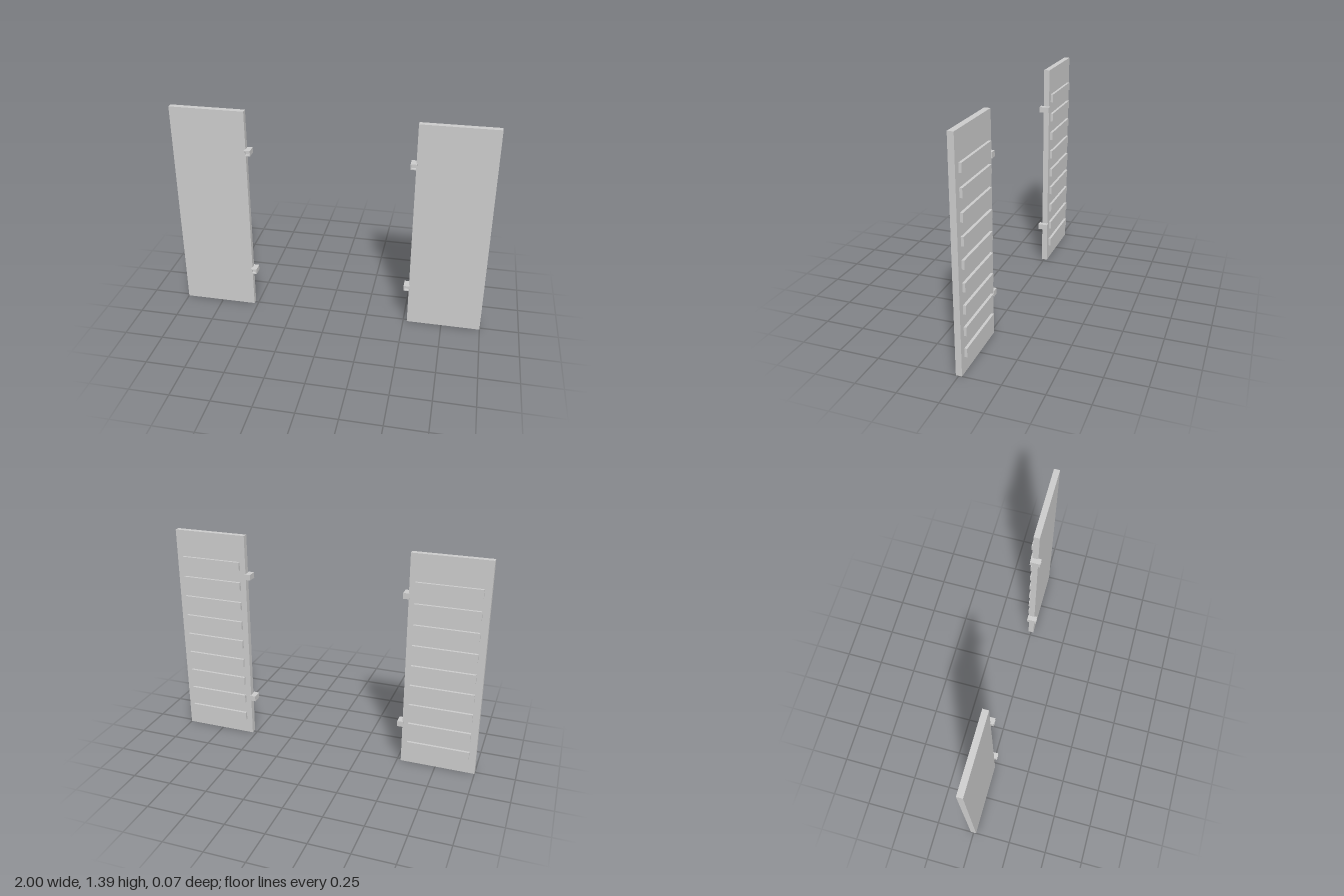
import * as THREE from 'three';

const material = new THREE.MeshStandardMaterial({ color: 0xcccccc, flatShading: true });

function box(name, [w, h, d], [x, y, z]) {
  const mesh = new THREE.Mesh(new THREE.BoxGeometry(w, h, d), material);
  mesh.name = name;
  mesh.position.set(x, y, z);
  return mesh;
}

// Square bracket: solid behind, with a shallow recess in its front end
function hinge(x, y) {
  const group = new THREE.Group();
  group.name = 'hinge';
  const w = 0.038, h = 0.036, wall = 0.006, rim = 0.018;
  group.add(box('hingeBlock', [w, h, 0.064 - rim], [0, 0, -0.027 + (0.064 - rim) / 2]));
  const front = 0.037 - rim / 2;
  for (const s of [-1, 1]) {
    group.add(box('hingeSide', [wall, h, rim], [s * (w - wall) / 2, 0, front]));
    group.add(box('hingeEdge', [w - 2 * wall, wall, rim], [0, s * (h - wall) / 2, front]));
  }
  group.position.set(x, y, 0);
  return group;
}

// One shutter: flat panel, nine slats on the back, two hinges on the inner edge
function shutter(side) {
  const group = new THREE.Group();
  group.name = side > 0 ? 'leftShutter' : 'rightShutter';
  group.add(box('panel', [0.475, 1.39, 0.037], [side * 0.7625, 0.695, -0.001]));
  for (let i = 0; i < 9; i++) {
    group.add(box('slat', [0.396, 0.054, 0.018], [side * 0.76, 0.127 + i * 0.1333, -0.027]));
  }
  for (const y of [0.27, 1.127]) group.add(hinge(side * 0.511, y));
  return group;
}

export function createModel() {
  const model = new THREE.Group();
  model.name = 'shutters';
  model.add(shutter(1), shutter(-1));
  return model;
}
